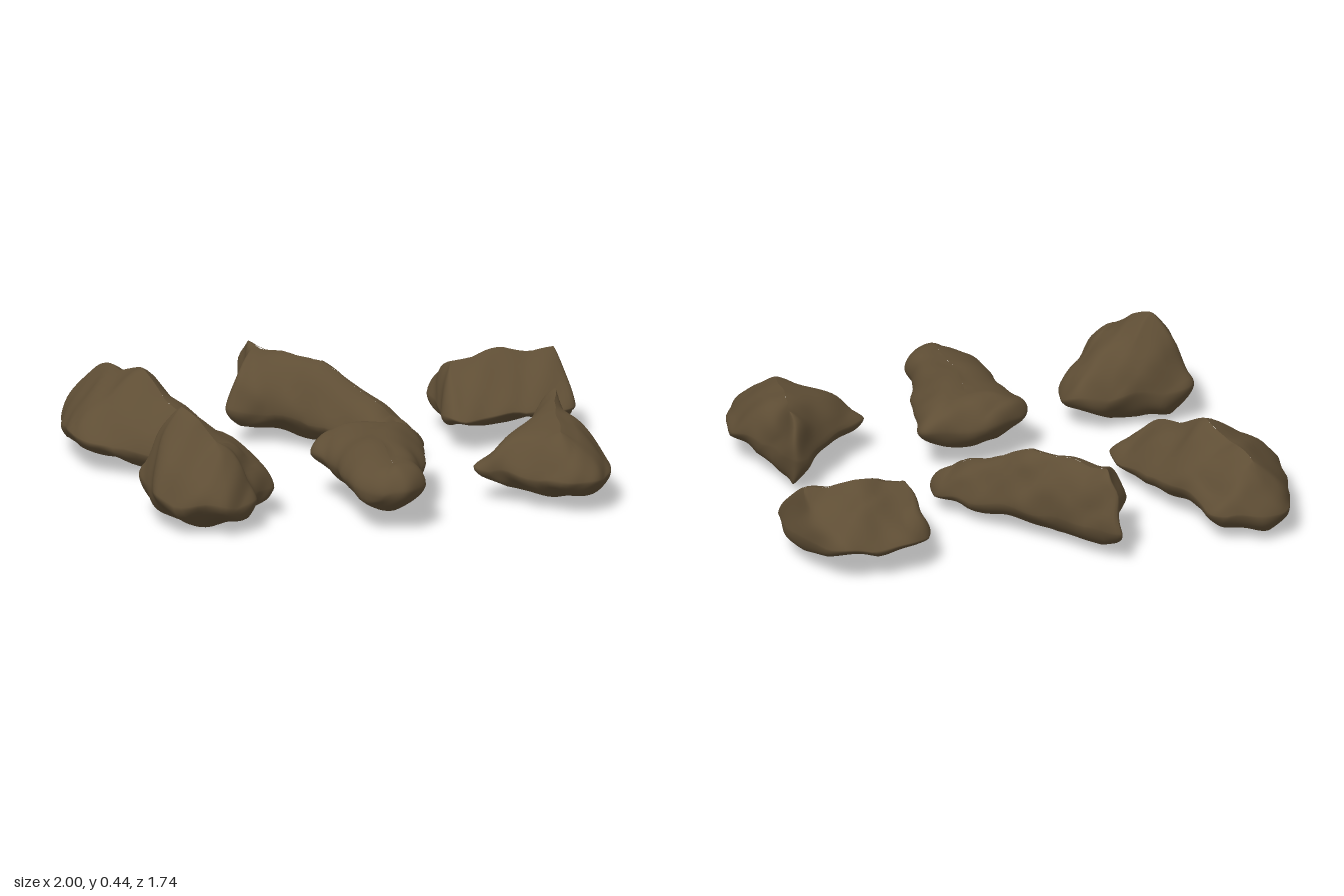
import * as THREE from 'three';

const SIDES = 96, RINGS = 14;

// Smooth lumps and shallow gullies
function roughen(v) {
  const { x, y, z } = v;
  const gully = Math.abs(Math.sin(x * 13 + z * 6 + Math.sin(y * 17 + z * 9)));
  v.x += 0.005 * Math.sin(y * 29 + z * 19) + 0.003 * Math.sin(z * 43 + y * 31);
  v.z += 0.005 * Math.sin(y * 27 + x * 21) + 0.003 * Math.sin(x * 47 - y * 33);
  v.y = Math.max(0, y + 0.006 * Math.sin(x * 23 + z * 17) + 0.012 * (gully - 0.6));
}

// Superellipse rise from the rim (s = 0) to the spine (s = 1): 1 is a tent, 2 a dome
const rise = (s, k) => Math.pow(1 - Math.pow(1 - s, k), 1 / k);

// Rings run from the underside spine, out to the widest outline, then up to the crest
function rockGeometry({ base, waist, dome, spine, heights, outline }) {
  const [start, end] = spine.map(([x, z]) => new THREE.Vector3(x, 0, z));
  const line = new THREE.Line3(start, end);
  const rim = new THREE.CatmullRomCurve3(
    outline.map(([x, z]) => new THREE.Vector3(x, 0, z)), true, 'centripetal');
  const positions = [], index = [];
  for (let j = -RINGS; j <= RINGS; j++) {
    const s = 1 - Math.cos((Math.abs(j) / RINGS) * Math.PI / 2);
    for (let i = 0; i < SIDES; i++) {
      const v = rim.getPoint(i / SIDES);
      const t = line.closestPointToPointParameter(v, true);
      const crestY = t < 0.5
        ? THREE.MathUtils.lerp(heights[0], heights[1], t * 2)
        : THREE.MathUtils.lerp(heights[1], heights[2], t * 2 - 1);
      const rimY = base + (crestY - base) * waist;
      const y = j < 0
        ? rimY + (base - rimY) * rise(s, 1.7)
        : rimY + (crestY - rimY) * rise(s, dome);
      v.lerp(line.at(t, new THREE.Vector3()), s).setY(y);
      roughen(v);
      positions.push(v.x, v.y, v.z);
    }
  }
  for (let j = 0; j < RINGS * 2; j++) {
    for (let i = 0; i < SIDES; i++) {
      const a = j * SIDES + i, b = j * SIDES + (i + 1) % SIDES;
      const c = a + SIDES, d = b + SIDES;
      index.push(a, c, b, b, c, d);
    }
  }
  const geometry = new THREE.BufferGeometry();
  geometry.setAttribute('position', new THREE.Float32BufferAttribute(positions, 3));
  geometry.setIndex(index);
  geometry.computeVertexNormals();
  return geometry;
}

export function createModel() {
  const group = new THREE.Group();
  group.name = 'rocks';
  const stone = new THREE.MeshStandardMaterial({ color: 0x5f4e35 });
  stone.name = 'brown stone';

  // Spine and outline are [x, z]; heights are the crest at the spine's start, middle and end
  function addRock(name, shape) {
    const mesh = new THREE.Mesh(rockGeometry(shape), stone);
    mesh.name = name;
    group.add(mesh);
  }

  // Long rock with a high ridge
  addRock('backLeftRock', {
    base: 0.02, waist: 0.36, dome: 1.25,
    spine: [[-0.79, -0.74], [-0.61, -0.14]], heights: [0.31, 0.36, 0.24],
    outline: [[-0.91, -0.82], [-0.78, -0.87], [-0.62, -0.81], [-0.57, -0.62], [-0.5, -0.42],
      [-0.44, -0.07], [-0.55, -0.04], [-0.91, -0.24], [-1, -0.37], [-0.96, -0.67]],
  });

  // Slanting narrow rock with a broad top
  addRock('backMiddleRock', {
    base: 0.04, waist: 0.32, dome: 1.65,
    spine: [[-0.19, -0.72], [0.22, -0.15]], heights: [0.35, 0.345, 0.19],
    outline: [[-0.2, -0.86], [0.02, -0.6], [0.16, -0.42], [0.31, -0.19], [0.3, -0.08],
      [0.12, -0.05], [0.04, -0.19], [-0.2, -0.47], [-0.33, -0.54], [-0.24, -0.67]],
  });

  // Blocky rock sloping to the front
  addRock('backRightRock', {
    base: 0.07, waist: 0.28, dome: 1.2,
    spine: [[0.54, -0.46], [0.95, -0.45]], heights: [0.3, 0.335, 0.32],
    outline: [[0.5, -0.63], [0.56, -0.68], [0.7, -0.7], [0.88, -0.68], [0.99, -0.4],
      [0.98, -0.23], [0.72, -0.2], [0.48, -0.19], [0.48, -0.4]],
  });

  // Tall rock with side lobes
  addRock('frontLeftRock', {
    base: 0.01, waist: 0.34, dome: 1.3,
    spine: [[-0.77, 0.39], [-0.68, 0.55]], heights: [0.44, 0.41, 0.35],
    outline: [[-0.9, 0.29], [-0.8, 0.26], [-0.55, 0.29], [-0.42, 0.33], [-0.42, 0.48],
      [-0.51, 0.55], [-0.54, 0.66], [-0.68, 0.74], [-0.92, 0.6], [-0.91, 0.42]],
  });

  // Low rounded rock
  addRock('frontMiddleRock', {
    base: 0.07, waist: 0.5, dome: 1.75,
    spine: [[0.03, 0.25], [-0.02, 0.74]], heights: [0.29, 0.29, 0.265],
    outline: [[0, 0.13], [0.24, 0.18], [0.22, 0.35], [0.12, 0.66], [0.1, 0.78],
      [0, 0.87], [-0.14, 0.78], [-0.18, 0.4], [-0.2, 0.22]],
  });

  // Angular rock with a pointed back
  addRock('frontRightRock', {
    base: 0.04, waist: 0.38, dome: 1.35,
    spine: [[0.78, 0.19], [0.69, 0.62]], heights: [0.35, 0.335, 0.29],
    outline: [[0.78, 0.12], [0.82, 0.3], [0.88, 0.42], [0.9, 0.6], [0.82, 0.76],
      [0.69, 0.79], [0.47, 0.57], [0.38, 0.48], [0.58, 0.31]],
  });

  return group;
}
